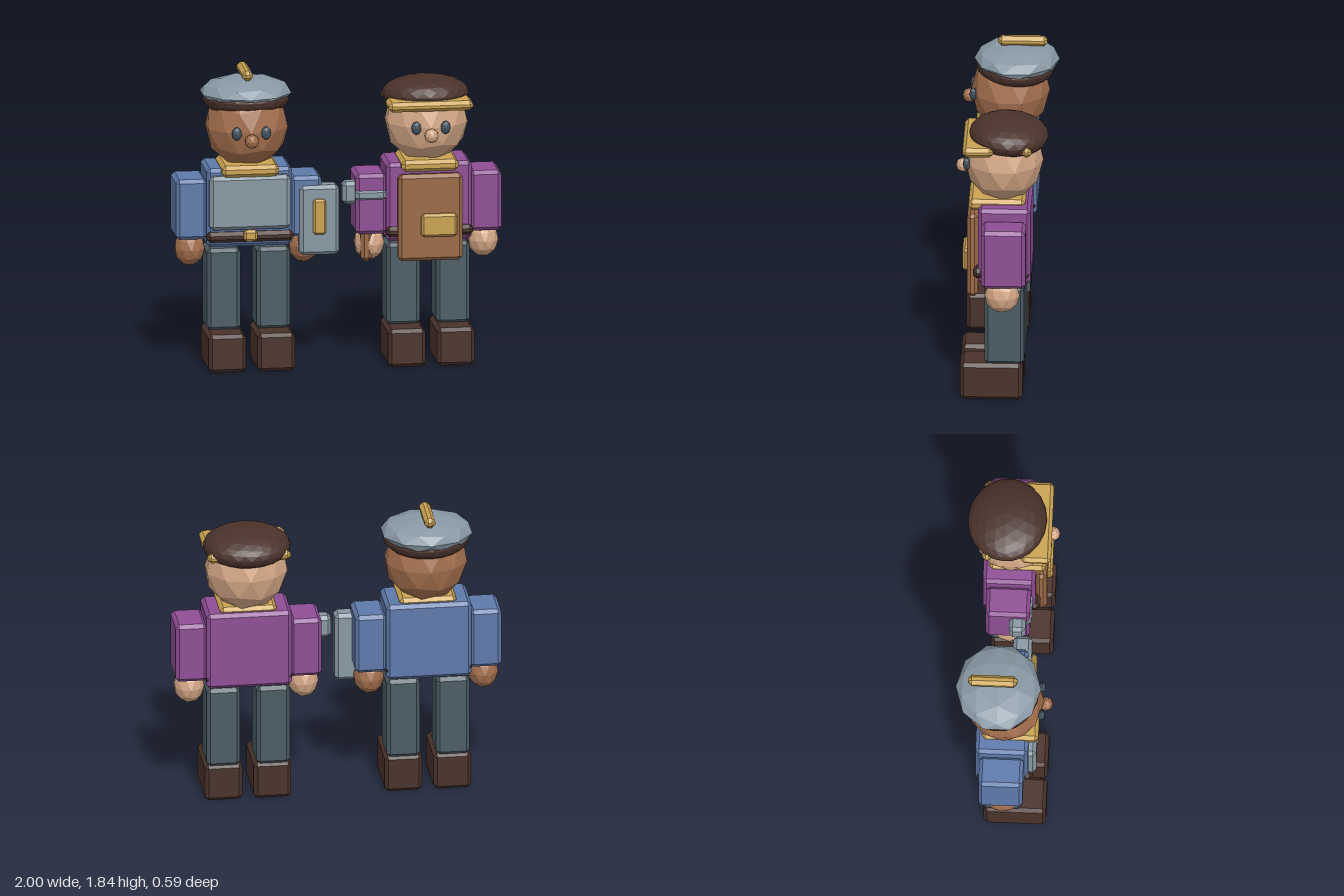
import * as THREE from 'three';
import { ConvexGeometry } from 'three/addons/geometries/ConvexGeometry.js';

const paint = (name, color) => {
  const m = new THREE.MeshStandardMaterial({ color, flatShading: true });
  m.name = name;
  return m;
};

// Box with chamfered edges
function chamferBox(w, h, d) {
  const c = Math.min(0.022, 0.36 * Math.min(w, h, d));
  const x = w / 2, y = h / 2, z = d / 2, pts = [];
  for (const i of [-1, 1]) for (const j of [-1, 1]) for (const k of [-1, 1]) {
    pts.push(
      new THREE.Vector3(i * x, j * (y - c), k * (z - c)),
      new THREE.Vector3(i * (x - c), j * y, k * (z - c)),
      new THREE.Vector3(i * (x - c), j * (y - c), k * z));
  }
  return new ConvexGeometry(pts);
}

// Chamfered box given by its [min, max] range on each axis
function block(parent, name, mat, [x0, x1], [y0, y1], [z0, z1]) {
  const mesh = new THREE.Mesh(chamferBox(x1 - x0, y1 - y0, z1 - z0), mat);
  mesh.position.set((x0 + x1) / 2, (y0 + y1) / 2, (z0 + z1) / 2);
  mesh.name = name;
  parent.add(mesh);
  return mesh;
}

// Faceted ellipsoid with a vertex at each pole
function ball(parent, name, mat, pos, radii, detail = 1) {
  const geo = new THREE.IcosahedronGeometry(1, detail);
  geo.rotateZ(Math.atan(2 / (1 + Math.sqrt(5))));
  geo.scale(...radii);
  geo.computeVertexNormals();
  const mesh = new THREE.Mesh(geo, mat);
  mesh.position.set(...pos);
  mesh.name = name;
  parent.add(mesh);
  return mesh;
}

export function createModel() {
  const blue = paint('blue cloth', 0x5f7aab);
  const purple = paint('purple cloth', 0x8f4f95);
  const lightSkin = paint('light skin', 0xd3a685);
  const darkSkin = paint('dark skin', 0xa36e4d);
  const gold = paint('gold', 0xcaa352);
  const grey = paint('steel grey', 0x8898a4);
  const slate = paint('slate trousers', 0x4b5c65);
  const brown = paint('dark brown', 0x4a322b);
  const eyeMat = paint('eye', 0x40525e);
  const leather = paint('tan leather', 0x9c6a45);

  // Body shared by both figures, built around x = 0
  function figure(name, x, skin, shirt) {
    const g = new THREE.Group();
    g.name = name;
    g.position.x = x;
    for (const s of [-1, 1]) {
      const side = s > 0 ? 'left' : 'right';
      const span = (a, b) => (s > 0 ? [a, b] : [-b, -a]);
      block(g, side + 'Shoe', brown, span(0.035, 0.265), [0, 0.235], [-0.12, 0.26]);
      block(g, side + 'Leg', slate, span(0.05, 0.255), [0.23, 0.74], [-0.13, 0.11]);
      block(g, side + 'Arm', shirt, span(0.255, 0.448), [0.805, 1.18], [-0.145, 0.125]);
      ball(g, side + 'Hand', skin, [s * 0.35, 0.73, 0], [0.094, 0.11, 0.107]);
      ball(g, side + 'Eye', eyeMat, [s * 0.09, 1.485, 0.225], [0.03, 0.042, 0.022]);
    }
    block(g, 'torso', shirt, [-0.262, 0.262], [0.76, 1.25], [-0.17, 0.15]);
    block(g, 'collar', gold, [-0.175, 0.175], [1.205, 1.277], [-0.135, 0.21]);
    block(g, 'belt', brown, [-0.267, 0.267], [0.793, 0.858], [0.115, 0.18]);
    block(g, 'backBelt', brown, [-0.266, 0.266], [0.805, 0.835], [-0.16, -0.13]);
    block(g, 'buckle', gold, [-0.042, 0.042], [0.803, 0.873], [0.165, 0.205]);
    ball(g, 'head', skin, [0, 1.485, 0], [0.257, 0.26, 0.24]);
    ball(g, 'nose', skin, [0, 1.44, 0.25], [0.043, 0.044, 0.042]);
    const hair = ball(g, 'hair', brown, [0, 1.65, -0.03], [0.267, 0.112, 0.242], 3);
    hair.rotation.x = -0.06;
    return g;
  }

  // Figure with beret, breastplate and shield
  const guard = figure('guardFigure', -0.552, darkSkin, blue);
  ball(guard, 'beret', grey, [0, 1.688, -0.04], [0.285, 0.097, 0.26]);
  block(guard, 'beretCrest', gold, [-0.033, 0.033], [1.772, 1.835], [-0.225, 0.075]);
  block(guard, 'breastplate', grey, [-0.25, 0.245], [0.875, 1.21], [0.13, 0.2]);
  const shield = new THREE.Group();
  shield.name = 'shield';
  block(shield, 'shieldPlate', grey, [0.307, 0.552], [0.69, 1.125], [0.03, 0.145]);
  block(shield, 'shieldBar', gold, [0.387, 0.467], [0.825, 1.045], [0.14, 0.178]);
  guard.add(shield);

  // Figure with visor, apron and hammer
  const smith = figure('smithFigure', 0.55, lightSkin, purple);
  block(smith, 'visor', gold, [-0.26, 0.26], [1.588, 1.648], [0.06, 0.245]);
  block(smith, 'visorBackBar', gold, [-0.255, 0.255], [1.59, 1.65], [-0.175, -0.115]);
  block(smith, 'apron', leather, [-0.198, 0.198], [0.65, 1.19], [0.152, 0.218]);
  block(smith, 'apronPocket', gold, [-0.06, 0.16], [0.805, 0.948], [0.205, 0.248]);
  const hammer = new THREE.Group();
  hammer.name = 'hammer';
  block(hammer, 'hammerHead', grey, [-0.525, -0.42], [0.99, 1.13], [0, 0.1]);
  block(hammer, 'hammerBar', grey, [-0.45, -0.258], [1.012, 1.09], [0.05, 0.135]);
  block(hammer, 'hammerHandle', leather, [-0.412, -0.342], [0.63, 1.05], [0.03, 0.1]);
  smith.add(hammer);

  const model = new THREE.Group();
  model.name = 'twoFigures';
  model.add(guard, smith);
  return model;
}
